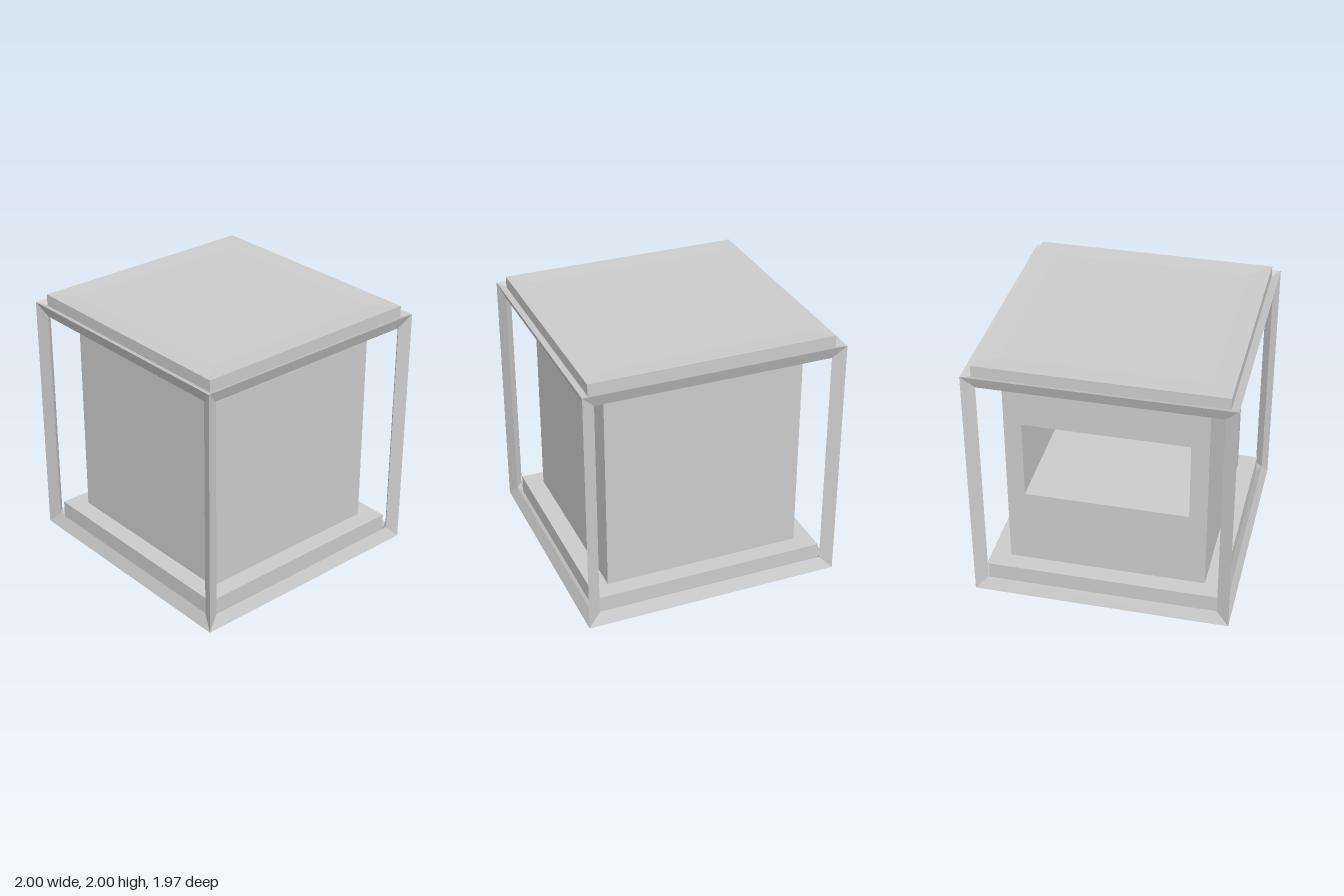
import * as THREE from 'three';

const grey = new THREE.MeshStandardMaterial({ color: 0xcccccc, flatShading: true });

function addMesh(parent, name, geometry) {
  const mesh = new THREE.Mesh(geometry, grey);
  mesh.name = name;
  parent.add(mesh);
  return mesh;
}

// Square slab with a very shallow dish on its top or bottom face
function slab(hx, hz, y0, y1, dishTop) {
  const r = Math.SQRT2, inner = r * 0.83, dip = 0.01;
  const profile = dishTop
    ? [[0, y0], [r, y0], [r, y1], [inner, y1 - dip], [0, y1 - dip]]
    : [[0, y0 + dip], [inner, y0 + dip], [r, y0], [r, y1], [0, y1]];
  const geo = new THREE.LatheGeometry(profile.map(p => new THREE.Vector2(...p)), 4, Math.PI / 4);
  return geo.scale(hx, 1, hz);
}

// Twelve mitred triangular bars along the edges of a block
function frameGeometry(half, width, recess) {
  const pos = [];
  const tri = (a, b, c) => pos.push(...a, ...b, ...c);
  const outer = s => s.map((v, i) => v * half[i]);
  // inner rim corner of the face across axis k
  const rim = (s, k) => s.map((v, i) => v * (half[i] - (i === k ? recess : width)));

  for (let a = 0; a < 3; a++) {
    const b = (a + 1) % 3, c = (a + 2) % 3;
    for (const sb of [-1, 1]) for (const sc of [-1, 1]) {
      const section = sa => {
        const s = [0, 0, 0];
        s[a] = sa; s[b] = sb; s[c] = sc;
        return sb * sc > 0
          ? [outer(s), rim(s, c), rim(s, b)]
          : [outer(s), rim(s, b), rim(s, c)];
      };
      const lo = section(-1), hi = section(1);
      for (let i = 0; i < 3; i++) {
        const j = (i + 1) % 3;
        tri(lo[i], lo[j], hi[j]);
        tri(lo[i], hi[j], hi[i]);
      }
    }
  }
  // small inner caps where three bars meet
  for (const x of [-1, 1]) for (const y of [-1, 1]) for (const z of [-1, 1]) {
    const s = [x, y, z];
    const [p, q, r] = [0, 1, 2].map(k => rim(s, k));
    if (x * y * z > 0) tri(p, r, q); else tri(p, q, r);
  }
  const geo = new THREE.BufferGeometry();
  geo.setAttribute('position', new THREE.Float32BufferAttribute(pos, 3));
  geo.computeVertexNormals();
  return geo;
}

function rectangle(target, hw, y0, y1) {
  target.moveTo(-hw, y0);
  target.lineTo(hw, y0);
  target.lineTo(hw, y1);
  target.lineTo(-hw, y1);
  target.closePath();
  return target;
}

export function createModel() {
  const model = new THREE.Group();
  model.name = 'framedCabinet';

  // Outer edge frame
  addMesh(model, 'edgeFrame', frameGeometry([1, 0.968, 0.985], 0.097, 0.04)).position.y = 0.968;

  // Base and lid
  addMesh(model, 'baseSlab', slab(0.91, 0.9, 0.03, 0.185, false));
  addMesh(model, 'topSlab', slab(0.94, 0.923, 1.875, 2, true));

  // Cabinet body: walls around a deep opening on the -x side, closed by a back wall
  const body = new THREE.Group();
  body.name = 'body';
  model.add(body);
  const hx = 0.77, hz = 0.76, y0 = 0.185, y1 = 1.875, wall = 0.14;
  const shape = rectangle(new THREE.Shape(), hz, y0, y1);
  shape.holes.push(rectangle(new THREE.Path(), 0.625, 0.8, 1.43));
  const shell = new THREE.ExtrudeGeometry(shape, { depth: 2 * hx - wall, bevelEnabled: false });
  shell.rotateY(Math.PI / 2);
  addMesh(body, 'bodyShell', shell).position.x = -hx;
  addMesh(body, 'bodyBackWall', new THREE.BoxGeometry(wall, y1 - y0, 2 * hz))
    .position.set(hx - wall / 2, (y0 + y1) / 2, 0);

  return model;
}
